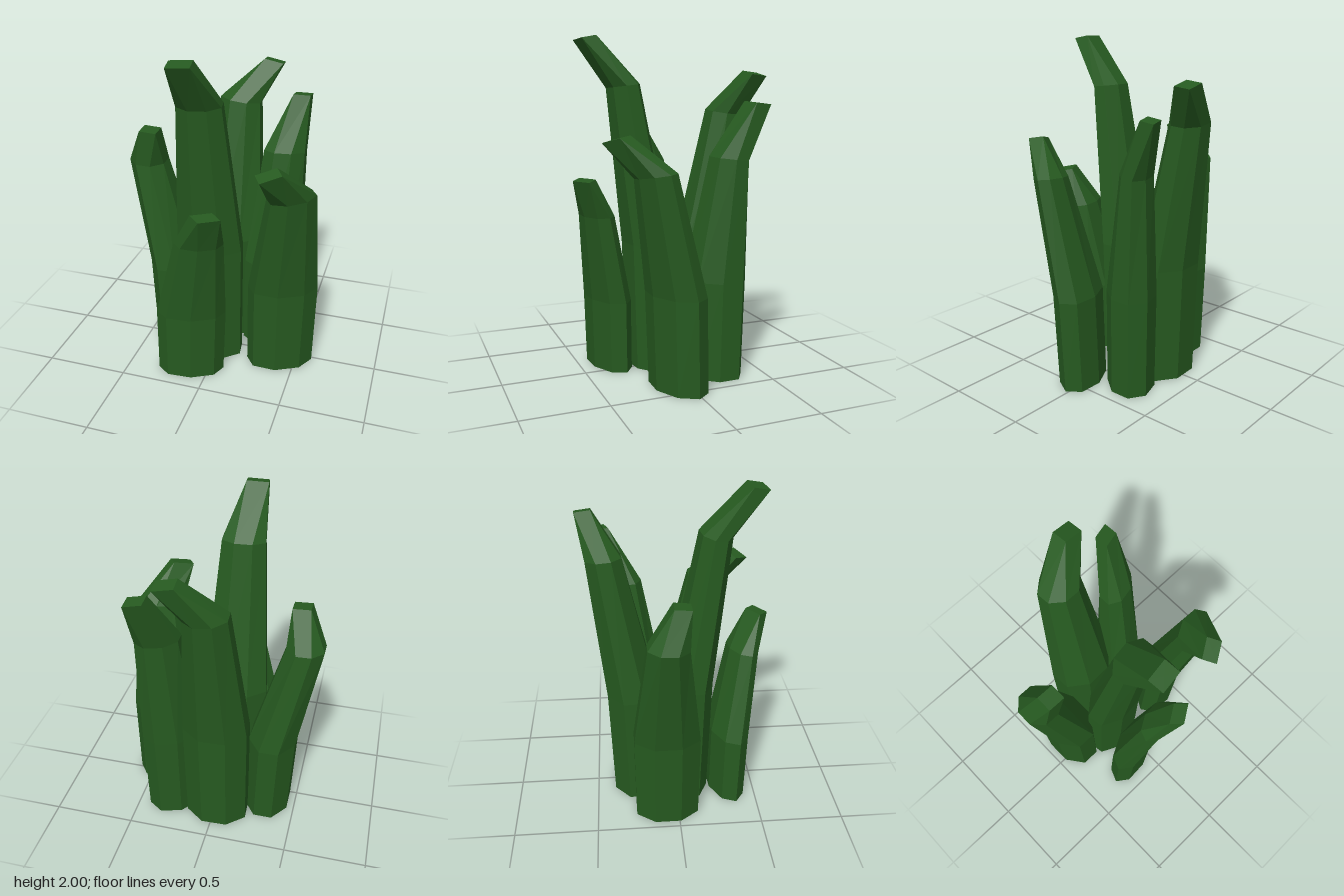
import * as THREE from 'three';

const SIDES = 8;
const STEP = Math.PI * 2 / SIDES;

// Corner points of one ring, tilted by slopes in x and z.
// A tip merges neighbouring corners into a four-sided end.
function ringPoints(centre, [halfX, halfZ], { turn, skew }, slopeX, slopeZ, isTip) {
  const angles = [];
  for (let i = 0; i < SIDES; i++) {
    angles.push(turn + (isTip ? Math.floor(i / 2) * 2 + 0.5 : i) * STEP);
  }
  // Corners reach the full half widths whichever way the ring is turned
  const reach = 1 / Math.max(...angles.map((t) => Math.cos(t)));
  return angles.map((t) => {
    const dx = halfX * reach * Math.cos(t);
    const dz = halfZ * reach * Math.sin(t + skew);
    return new THREE.Vector3(dx, slopeX * dx + slopeZ * dz, dz).add(centre);
  });
}

// Closed skin over the rings, with a flat foot and a cut-off tip
function skin(loops, foot, tip) {
  const positions = [];
  const tri = (...corners) => corners.forEach((p) => positions.push(p.x, p.y, p.z));
  const last = loops.length - 1;
  for (let i = 0; i < SIDES; i++) {
    const j = (i + 1) % SIDES;
    const mergedAtTip = i % 2 === 0;
    for (let k = 0; k < last; k++) {
      const low = loops[k], high = loops[k + 1];
      tri(low[i], high[i], low[j]);
      if (k + 1 < last || !mergedAtTip) tri(low[j], high[i], high[j]);
    }
    tri(foot, loops[0][i], loops[0][j]);
    if (!mergedAtTip) tri(tip, loops[last][j], loops[last][i]);
  }
  const geometry = new THREE.BufferGeometry();
  geometry.setAttribute('position', new THREE.Float32BufferAttribute(positions, 3));
  geometry.computeVertexNormals();
  return geometry;
}

// A blade rises almost straight to its bend, then leans towards its tip.
// Sizes are half widths in x and z; the end cuts tilt against the lean.
function bladeGeometry(section, footAt, footSize, bendAt, bendSize, tipAt, tipSize) {
  const foot = new THREE.Vector3(...footAt);
  const bend = new THREE.Vector3(...bendAt);
  const tip = new THREE.Vector3(...tipAt);
  const middle = foot.clone().lerp(bend, 0.12).setY(bend.y * 0.45);
  const middleSize = footSize.map((s) => s * 1.03);
  const lean = tip.clone().sub(bend);
  lean.divideScalar(lean.y);
  const ring = (centre, size, tilt, isTip) =>
    ringPoints(centre, size, section, -tilt * lean.x, -tilt * lean.z, isTip);
  return skin([
    ring(foot, footSize, 0, false),
    ring(middle, middleSize, 0, false),
    ring(bend, bendSize, 0.15, false),
    ring(tip, tipSize, 0.25, true),
  ], foot, tip);
}

export function createModel() {
  const group = new THREE.Group();
  group.name = 'grassTuft';
  const green = new THREE.MeshStandardMaterial({ color: 0x265a20, flatShading: true });
  const addBlade = (name, ...shape) => {
    const mesh = new THREE.Mesh(bladeGeometry(...shape), green);
    mesh.name = name;
    group.add(mesh);
  };

  // Name, cross-section, then position and size of foot, bend and tip
  addBlade('tallCentreBlade', { turn: 0.3, skew: -0.1 }, [-0.05, 0, 0.07], [0.195, 0.13],
    [-0.06, 1.71, 0.23], [0.13, 0.09], [-0.09, 1.985, 0.45], [0.07, 0.05]);
  addBlade('shortFrontBlade', { turn: -0.15, skew: -0.35 }, [-0.11, 0, 0.318], [0.195, 0.113],
    [-0.015, 0.96, 0.415], [0.135, 0.088], [0.055, 1.175, 0.505], [0.085, 0.06]);
  addBlade('leftBlade', { turn: 0, skew: -0.35 }, [0.4, 0, 0.065], [0.2, 0.14],
    [0.465, 1.23, 0.225], [0.135, 0.1], [0.375, 1.425, 0.415], [0.075, 0.065]);
  addBlade('rightBlade', { turn: 0.39, skew: 0 }, [-0.315, 0, -0.07], [0.14, 0.19],
    [-0.495, 1.23, -0.07], [0.11, 0.115], [-0.45, 1.45, 0.01], [0.053, 0.048]);
  addBlade('backBlade', { turn: 0.35, skew: 0 }, [-0.015, 0, -0.24], [0.193, 0.153],
    [0, 1.56, -0.405], [0.125, 0.105], [0.18, 1.785, -0.515], [0.06, 0.05]);
  addBlade('backLeftBlade', { turn: 0.39, skew: -0.3 }, [0.272, 0, -0.205], [0.155, 0.155],
    [0.315, 1.3, -0.285], [0.12, 0.095], [0.38, 1.615, -0.43], [0.05, 0.047]);
  return group;
}
